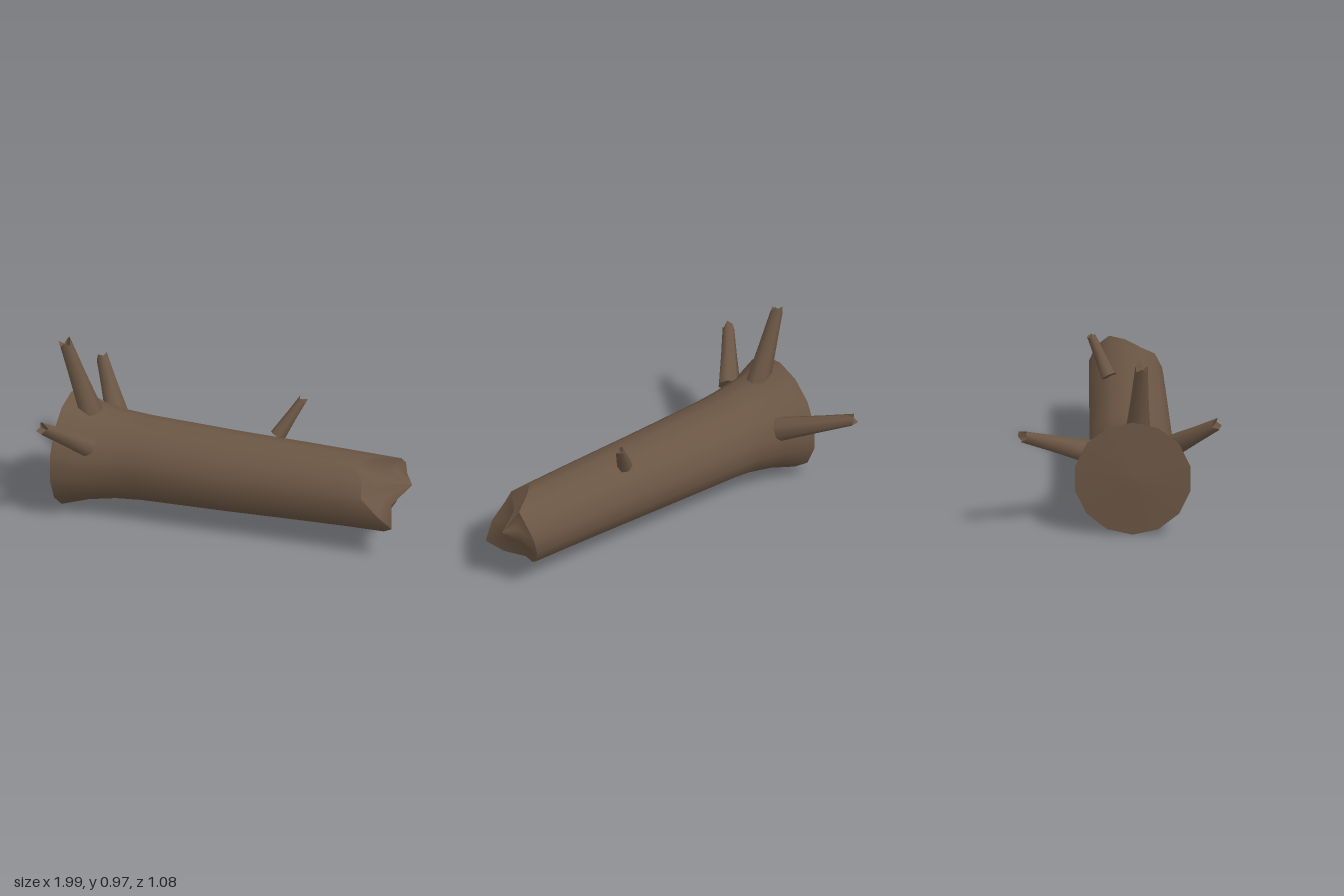
import * as THREE from 'three';

const V = (x, y, z) => new THREE.Vector3(x, y, z);
const bark = new THREE.MeshStandardMaterial({ color: 0x6b5644, roughness: 1 });

// ring of points round centre c, square to direction d; shift(i) slides a point along d
function ring(c, d, u, r, sides, shift = () => 0) {
  const v = u.clone().cross(d);
  return Array.from({ length: sides }, (_, i) => {
    const a = (i / sides) * Math.PI * 2;
    return c.clone().addScaledVector(u, r * Math.cos(a))
      .addScaledVector(v, r * Math.sin(a)).addScaledVector(d, shift(i));
  });
}

// smooth skin over successive rings
function loft(name, rings) {
  const n = rings[0].length, index = [];
  for (let j = 0; j < rings.length - 1; j++) {
    for (let i = 0; i < n; i++) {
      const a = j * n + i, b = j * n + (i + 1) % n;
      index.push(a, a + n, b, b, a + n, b + n);
    }
  }
  const g = new THREE.BufferGeometry().setFromPoints(rings.flat());
  g.setIndex(index);
  g.computeVertexNormals();
  const mesh = new THREE.Mesh(g, bark);
  mesh.name = name;
  return mesh;
}

const fan = (p, n) => Array.from({ length: n }, () => p.clone());

function makeTrunk() {
  const trunk = new THREE.Group();
  trunk.name = 'trunk';
  const n = 14, d = V(1, 0, 0), u = V(0, -1, 0);
  // x, centre y, centre z, radius
  const rows = [
    [-0.915, 0.32, 0.063, 0.315], [-0.77, 0.315, 0.06, 0.263], [-0.62, 0.319, 0.058, 0.238],
    [-0.48, 0.32, 0.053, 0.228], [0, 0.32, 0.04, 0.217], [0.4, 0.324, 0.027, 0.209],
    [0.68, 0.325, 0.018, 0.203],
  ].map(([x, y, z, r]) => ring(V(x, y, z), d, u, r, n));

  // broken rim: how far the wood reaches at each corner, from the bottom round by the front
  const reach = [0.81, 0.89, 0.96, 0.89, 0.8, 0.79, 0.72, 0.8, 0.92, 0.92, 0.9, 0.88, 0.86, 0.83];
  const rim = ring(V(0, 0.325, 0.013), d, u, 0.2, n, (i) => reach[i]);
  trunk.add(loft('bark', [...rows, rim]));

  // splintered end face rising to an off-centre spike
  const tip = V(1, 0.38, -0.03);
  const inner = rim.map((p, i) => {
    const q = p.clone().lerp(tip, 0.5);
    q.x -= i >= 9 && i <= 11 ? 0.01 : 0.06;
    return q;
  });
  trunk.add(loft('brokenEnd', [rim, inner, fan(tip, n)]));

  // root end, slightly domed
  trunk.add(loft('rootEnd', [fan(V(-0.935, 0.32, 0.063), n), rows[0]]));
  return trunk;
}

// tapered branch stub with a jagged hollow tip
function makeBranch(name, from, to, r0, r1) {
  const branch = new THREE.Group();
  branch.name = name;
  const n = 7, jag = [0.5, -0.4, 0.3, 0.7, -0.5, 0.2, -0.3];
  const d = to.clone().sub(from).normalize();
  const u = V(0, 0, 1).cross(d).normalize();
  const base = ring(from, d, u, r0, n);
  const mid = ring(from.clone().lerp(to, 0.55), d, u, r0 * 0.4 + r1 * 0.6, n);
  const rim = ring(to, d, u, r1, n, (i) => jag[i] * r1);
  branch.add(loft('stem', [base, mid, rim]));
  branch.add(loft('stemBase', [fan(from, n), base]));
  branch.add(loft('hollowTip', [rim, fan(to.clone().addScaledVector(d, -r1), n)]));
  return branch;
}

export function createModel() {
  const log = new THREE.Group();
  log.name = 'fallenLog';
  log.add(
    makeTrunk(),
    makeBranch('topBranch', V(-0.79, 0.55, 0.09), V(-0.93, 0.945, 0.11), 0.066, 0.034),
    makeBranch('frontBranch', V(-0.735, 0.445, 0.275), V(-0.905, 0.62, 0.51), 0.06, 0.032),
    makeBranch('backBranch', V(-0.735, 0.41, -0.17), V(-0.965, 0.57, -0.52), 0.066, 0.032),
    makeBranch('middleBranch', V(0.215, 0.515, -0.07), V(0.32, 0.705, -0.165), 0.043, 0.023),
  );
  return log;
}
